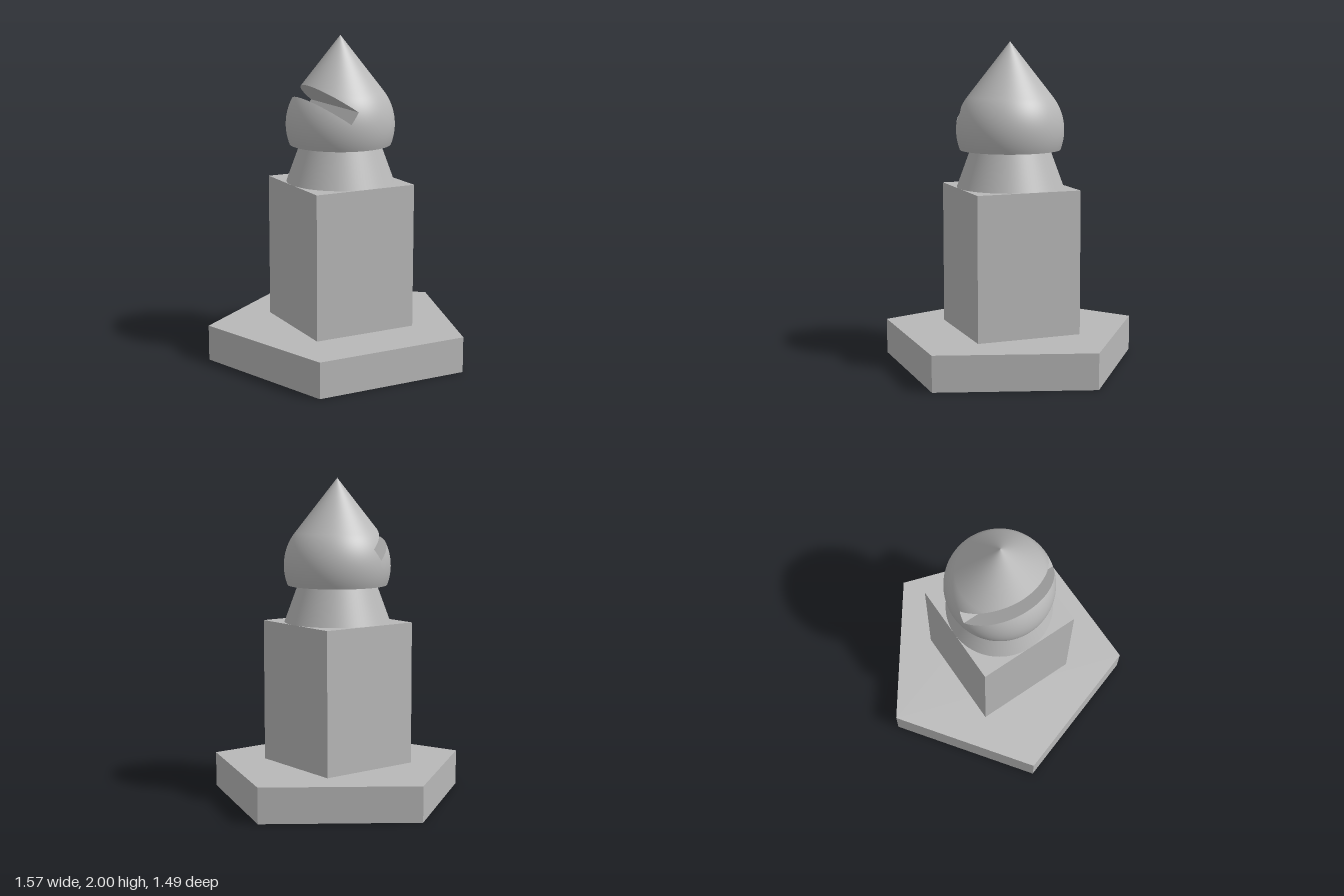
import * as THREE from 'three';

const CENTRE_Y = 1.46, BALL = 0.332, TIP = 2, HEAD_BASE = 1.34;
const SIN = BALL / (TIP - CENTRE_Y), TANGENT = Math.asin(SIN); // where cone meets ball

// Radius of the head (ball with a tangent cone on top) at height y
function headRadius(y) {
  const h = y - CENTRE_Y;
  if (h < BALL * SIN) return Math.sqrt(Math.max(0, BALL * BALL - h * h));
  return Math.max(0, (TIP - y) * Math.tan(TANGENT));
}

// Slot: upper inner corner, direction into the head, direction across, width
const INNER = new THREE.Vector2(-0.042, 1.574);
const INTO = new THREE.Vector2(0.809, -0.588);
const ACROSS = new THREE.Vector2(-0.588, -0.809);
const WIDTH = 0.087;

const along = p => (p[0] - INNER.x) * INTO.x + (p[1] - INNER.y) * INTO.y;
const across = p => (p[0] - INNER.x) * ACROSS.x + (p[1] - INNER.y) * ACROSS.y;

// Keep the part of a polygon where dist >= 0; points hold position and normal
function clip(poly, dist) {
  const out = [];
  poly.forEach((a, i) => {
    const b = poly[(i + 1) % poly.length], da = dist(a), db = dist(b);
    if (da >= 0) out.push(a);
    if ((da >= 0) !== (db >= 0)) {
      const t = da / (da - db);
      out.push(a.map((v, k) => v + (b[k] - v) * t));
    }
  });
  return out;
}

// Head surface with the slot region removed
function slottedHead() {
  const profile = [];
  const start = Math.asin((HEAD_BASE - CENTRE_Y) / BALL);
  for (let i = 0; i <= 20; i++) {
    const a = start + (TANGENT - start) * i / 20;
    profile.push(new THREE.Vector2(BALL * Math.cos(a), CENTRE_Y + BALL * Math.sin(a)));
  }
  for (let i = 1; i <= 6; i++) {
    const y = CENTRE_Y + BALL * SIN + (TIP - CENTRE_Y - BALL * SIN) * i / 6;
    profile.push(new THREE.Vector2(headRadius(y), y));
  }
  const src = new THREE.LatheGeometry(profile, 96).toNonIndexed();
  const p = src.attributes.position, n = src.attributes.normal;
  const pos = [], nor = [];
  const emit = poly => {
    for (let i = 1; i + 1 < poly.length; i++)
      for (const v of [poly[0], poly[i], poly[i + 1]]) {
        pos.push(v[0], v[1], v[2]);
        nor.push(v[3], v[4], v[5]);
      }
  };
  for (let i = 0; i < p.count; i += 3) {
    const tri = [i, i + 1, i + 2].map(k =>
      [p.getX(k), p.getY(k), p.getZ(k), n.getX(k), n.getY(k), n.getZ(k)]);
    emit(clip(tri, v => -across(v)));
    emit(clip(tri, v => across(v) - WIDTH));
    emit(clip(clip(clip(tri, across), v => WIDTH - across(v)), along));
  }
  const g = new THREE.BufferGeometry();
  g.setAttribute('position', new THREE.Float32BufferAttribute(pos, 3));
  g.setAttribute('normal', new THREE.Float32BufferAttribute(nor, 3));
  return g;
}

// Flat slot wall from a to b, as wide in z as the head is there
function slotWall(a, b) {
  const N = 48, pos = [], index = [];
  for (let i = 0; i <= N; i++) {
    const q = a.clone().lerp(b, 0.5 - 0.5 * Math.cos(Math.PI * i / N));
    const w = Math.sqrt(Math.max(0, headRadius(q.y) ** 2 - q.x ** 2));
    pos.push(q.x, q.y, -w, q.x, q.y, w);
    if (i < N) index.push(2 * i, 2 * i + 2, 2 * i + 3, 2 * i, 2 * i + 3, 2 * i + 1);
  }
  const g = new THREE.BufferGeometry();
  g.setAttribute('position', new THREE.Float32BufferAttribute(pos, 3));
  g.setIndex(index);
  g.computeVertexNormals();
  return g;
}

// Point where the slot edge starting at an inner corner leaves the head
function mouth(corner) {
  let lo = 0, hi = 0.6;
  for (let i = 0; i < 40; i++) {
    const mid = (lo + hi) / 2, q = corner.clone().addScaledVector(INTO, -mid);
    if (headRadius(q.y) > Math.abs(q.x)) lo = mid; else hi = mid;
  }
  return corner.clone().addScaledVector(INTO, -lo);
}

export function createModel() {
  const model = new THREE.Group();
  const grey = new THREE.MeshStandardMaterial({ color: 0xb8b8b8 });
  grey.name = 'grey';
  const piece = new THREE.Group();
  piece.name = 'piece';
  piece.position.z = 0.08;
  model.add(piece);
  const add = (name, geometry, y = 0) => {
    const m = new THREE.Mesh(geometry, grey);
    m.name = name;
    m.position.y = y;
    piece.add(m);
    return m;
  };

  // Pentagonal base: lower layer has two round sockets, upper layer closes them
  const layer = (holes, depth) => {
    const corners = [0, 1, 2, 3, 4].map(i => {
      const a = Math.PI / 2 + i * Math.PI * 2 / 5;
      return new THREE.Vector2(0.825 * Math.cos(a), 0.825 * Math.sin(a));
    });
    const shape = new THREE.Shape(corners);
    for (const [x, y] of holes)
      shape.holes.push(new THREE.Path().absarc(x, y, 0.222, 0, Math.PI * 2, true));
    return new THREE.ExtrudeGeometry(shape, { depth, bevelEnabled: false, curveSegments: 32 })
      .rotateX(-Math.PI / 2);
  };
  add('socketLayer', layer([[-0.14, 0.286], [0.14, -0.286]], 0.115));
  add('baseTop', layer([], 0.105), 0.115);

  // Square column and flared neck
  add('column', new THREE.BoxGeometry(0.66, 0.89, 0.66), 0.665);
  add('neck', new THREE.CylinderGeometry(0.246, 0.33, 0.23, 96, 1, true), 1.225);

  // Pointed head with a slanted slot
  add('head', slottedHead());
  add('headUnderside', new THREE.RingGeometry(0.2, headRadius(HEAD_BASE), 96)
    .rotateX(Math.PI / 2), HEAD_BASE);
  const lower = INNER.clone().addScaledVector(ACROSS, WIDTH);
  add('slotUpperWall', slotWall(mouth(INNER), INNER));
  add('slotFloor', slotWall(INNER, lower));
  add('slotLowerWall', slotWall(lower, mouth(lower)));
  return model;
}
